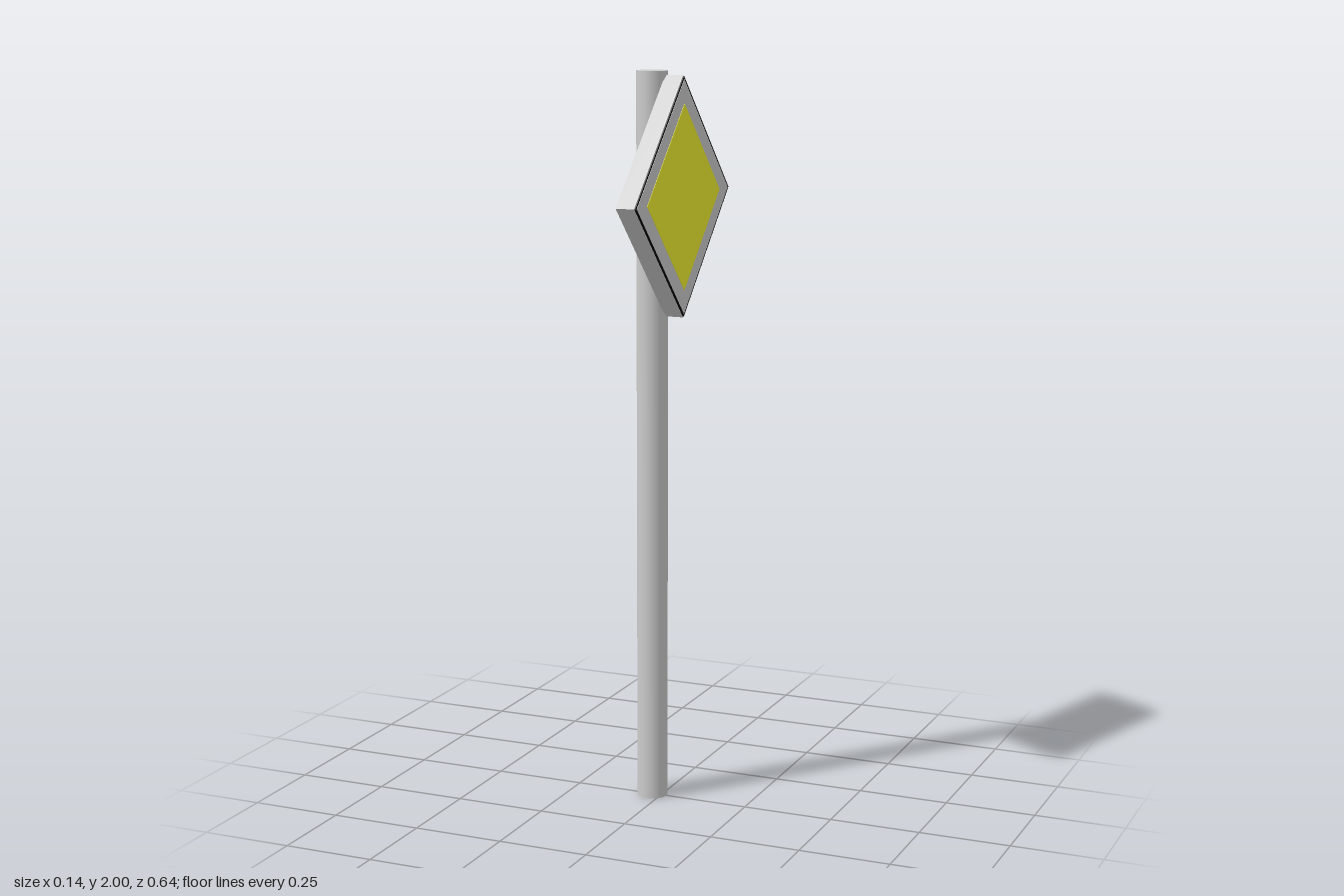
import * as THREE from 'three';

export function createModel() {
  const group = new THREE.Group();
  const material = (color) => new THREE.MeshStandardMaterial({ color });
  const grey = material(0xcccccc);

  // Round post
  const post = new THREE.Mesh(new THREE.CylinderGeometry(0.042, 0.042, 2, 48), grey);
  post.name = 'post';
  post.position.set(-0.026, 1, 0);
  group.add(post);

  // Square plate standing on its corner, between two x positions
  const addDiamond = (name, halfDiagonal, x0, x1, mat) => {
    const side = halfDiagonal * Math.SQRT2;
    const mesh = new THREE.Mesh(new THREE.BoxGeometry(x1 - x0, side, side), mat);
    mesh.name = name;
    mesh.rotation.x = Math.PI / 4;
    mesh.position.set((x0 + x1) / 2, 1.669, 0.001);
    group.add(mesh);
  };

  // Layered sign, each layer slightly proud of the one behind
  addDiamond('signBody', 0.32, 0.012, 0.063, grey);
  addDiamond('blackRim', 0.318, 0.06, 0.066, material(0x000000));
  addDiamond('greyBorder', 0.31, 0.06, 0.067, grey);
  addDiamond('yellowPanel', 0.247, 0.06, 0.068, material(0xf0f030));

  return group;
}
